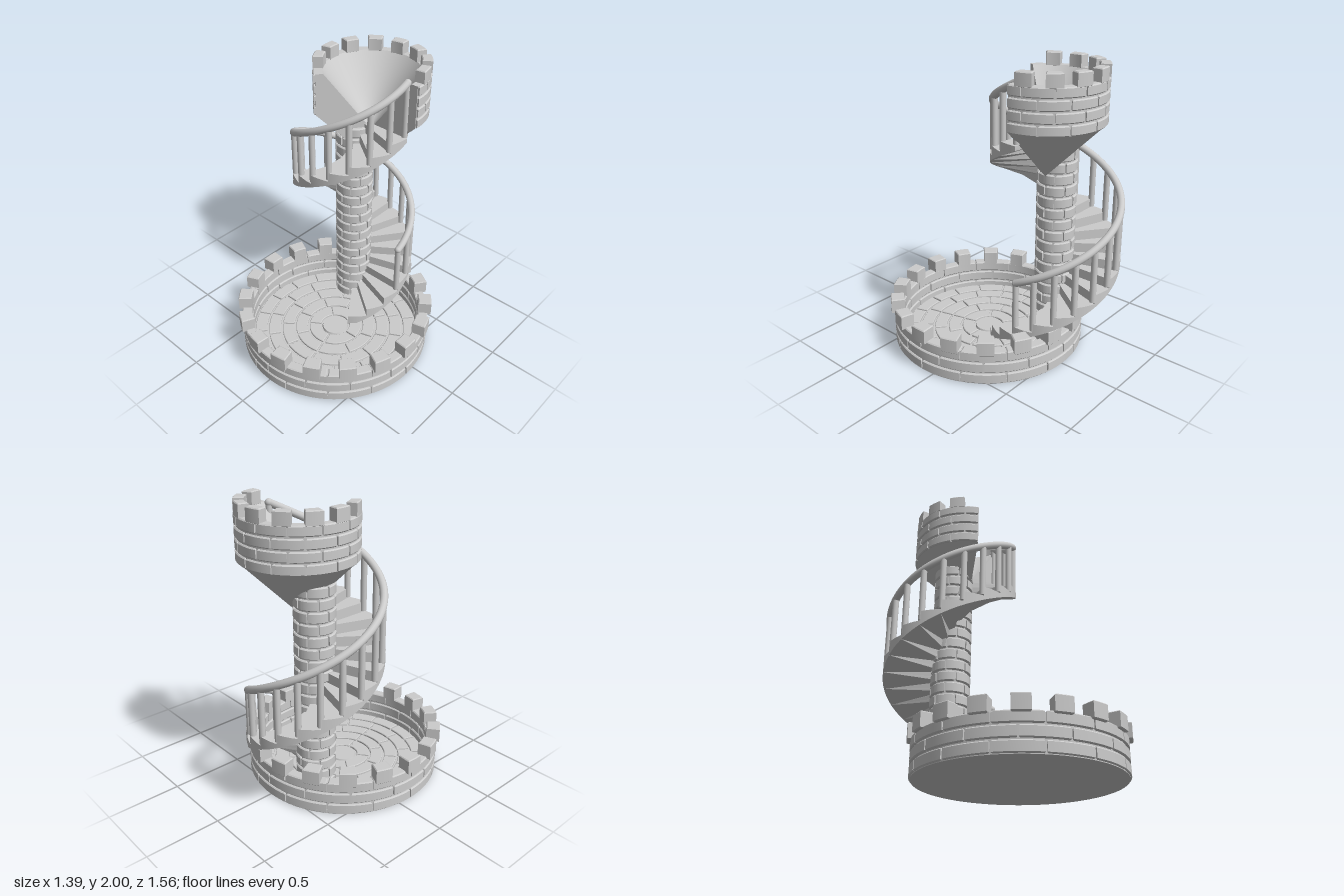
import * as THREE from 'three';
import { toCreasedNormals } from 'three/addons/utils/BufferGeometryUtils.js';

const TAU = Math.PI * 2, DEG = Math.PI / 180;
const mat = new THREE.MeshStandardMaterial({ color: 0xcccccc });
const thin = new THREE.MeshStandardMaterial({ color: 0xcccccc, side: THREE.DoubleSide });

function add(parent, name, geometry, material = mat) {
  const mesh = new THREE.Mesh(geometry, material);
  mesh.name = name;
  parent.add(mesh);
  return mesh;
}

function group(parent, name, x = 0, z = 0) {
  const g = new THREE.Group();
  g.name = name;
  g.position.set(x, 0, z);
  parent.add(g);
  return g;
}

// Ring segment between two radii and two angles (counter-clockwise from +x, seen from above)
function sector(r0, r1, a0, a1, y, h, bevel = 0) {
  const s = new THREE.Shape();
  s.absarc(0, 0, r1, a0, a1, false);
  s.absarc(0, 0, r0, a1, a0, true);
  const geo = new THREE.ExtrudeGeometry(s, {
    depth: h - 2 * bevel, curveSegments: Math.max(4, Math.ceil((a1 - a0) / 0.12)),
    bevelEnabled: bevel > 0, bevelSize: bevel, bevelThickness: bevel, bevelOffset: -bevel, bevelSegments: 1,
  });
  geo.rotateX(-Math.PI / 2);
  geo.translate(0, y + bevel, 0);
  return toCreasedNormals(geo, 0.5);
}

// Courses of bricks, every other one shifted by half a brick
function bricks(parent, r0, r1, y0, y1, rows, count, a0 = 0, a1 = TAU) {
  const pitch = (y1 - y0) / rows, step = (a1 - a0) / count, joint = 0.005 / r1;
  const closed = a1 - a0 > 6.28;
  for (let row = 0; row < rows; row++) {
    const odd = row % 2;
    for (let i = 0; i < count + (odd && !closed ? 1 : 0); i++) {
      let b0 = a0 + (i - odd * 0.5) * step, b1 = b0 + step;
      if (!closed) { b0 = Math.max(b0, a0); b1 = Math.min(b1, a1); }
      add(parent, 'brick', sector(r0, r1, b0 + joint, b1 - joint, y0 + row * pitch + 0.005, pitch - 0.01, 0.007));
    }
  }
}

function merlon(parent, r0, r1, angle, width, y, h) {
  add(parent, 'merlon', sector(r0, r1, angle - width / 2, angle + width / 2, y, h, 0.006));
}

function ringWall(r0, r1, y0, y1) {
  const pts = [[r0, y0], [r1, y0], [r1, y1], [r0, y1], [r0, y0]].map(p => new THREE.Vector2(...p));
  return toCreasedNormals(new THREE.LatheGeometry(pts, 72), 0.5);
}

function buildBase(model) {
  const base = group(model, 'base', 0, 0.09);
  const slab = add(base, 'floorSlab', new THREE.CylinderGeometry(0.66, 0.66, 0.03, 72));
  slab.position.y = 0.015;
  add(base, 'wallCore', ringWall(0.612, 0.657, 0.005, 0.232));
  bricks(base, 0.6, 0.67, 0, 0.245, 3, 14);
  for (let i = 0; i < 18; i++) merlon(base, 0.6, 0.693, i * 20 * DEG, 0.165, 0.225, 0.105);

  // Concentric paving
  const hub = add(base, 'centrePaver', new THREE.CylinderGeometry(0.09, 0.095, 0.015, 32));
  hub.position.y = 0.037;
  [5, 8, 11, 14, 18].forEach((count, ring) => {
    const r = 0.105 + ring * 0.1, step = TAU / count, gap = 0.007 / (r + 0.045);
    for (let i = 0; i < count; i++) {
      const a = (i + ring * 0.37) * step;
      add(base, 'paver', sector(r, r + 0.085, a + gap, a + step - gap, 0.025, 0.02, 0.004));
    }
  });
}

function buildColumn(model) {
  const column = group(model, 'column', -0.2, -0.335);
  const core = add(column, 'columnCore', new THREE.CylinderGeometry(0.118, 0.118, 1.49, 32));
  core.position.y = 0.765;
  bricks(column, 0.08, 0.132, 0.03, 1.52, 19, 6);
}

// Handrail height at an angle around the column; steps and balusters follow it
const RISE = 1.3 / TAU;
const railY = a => 0.62 + RISE * a;

class RailCurve extends THREE.Curve {
  getPoint(t, target = new THREE.Vector3()) {
    const a = t * TAU;
    return target.set(0.42 * Math.cos(a), railY(a), -0.42 * Math.sin(a));
  }
}

function buildStair(model) {
  const stair = group(model, 'stair', -0.2, -0.34);
  const step = 18 * DEG;

  // Treads are flat on top; their undersides are sheared into one continuous spiral
  for (let k = -3; k < 20; k++) {
    const a = k * step, top = railY(a) - 0.315;
    const geo = sector(0.03, 0.44, a, a + step, 0, 1);
    const p = geo.attributes.position;
    for (let i = 0; i < p.count; i++) {
      let da = Math.atan2(-p.getZ(i), p.getX(i)) - a;
      da -= TAU * Math.round(da / TAU);
      p.setY(i, p.getY(i) > 0.5 ? top : Math.max(0.03, railY(a + da) - 0.41));
    }
    geo.computeVertexNormals();
    add(stair, 'step', toCreasedNormals(geo, 0.5));
  }

  add(stair, 'handrail', new THREE.TubeGeometry(new RailCurve(), 120, 0.025, 12, false));
  for (let k = 0; k <= 20; k++) {
    const a = Math.min(k * step, TAU - 0.01);
    const post = add(stair, 'baluster', new THREE.CylinderGeometry(0.021, 0.021, 0.37, 12));
    post.position.set(0.42 * Math.cos(a), railY(a) - 0.185, -0.42 * Math.sin(a));
    if (k % 20 === 0) {
      const cap = add(stair, 'handrailEnd', new THREE.SphereGeometry(0.025, 14, 10));
      cap.position.set(0.42 * Math.cos(a), railY(a), -0.42 * Math.sin(a));
    }
  }
}

function buildTurret(model) {
  const turret = group(model, 'turret', -0.065, -0.34);
  const a0 = -1 * DEG, a1 = 235 * DEG;
  const profile = [[0, 1.27], [0.365, 1.635], [0.365, 1.92], [0.315, 1.92], [0, 1.5]].map(p => new THREE.Vector2(...p));

  // Funnel-shaped lookout, open where the stair arrives
  const bowl = new THREE.LatheGeometry(profile, 64, a0 + Math.PI / 2, a1 - a0);
  add(turret, 'bowl', toCreasedNormals(bowl, 0.5), thin);
  for (const a of [a0, a1]) {
    const face = add(turret, 'bowlEndFace', new THREE.ShapeGeometry(new THREE.Shape(profile)), thin);
    face.rotation.y = a;
  }
  bricks(turret, 0.315, 0.377, 1.63, 1.925, 4, 8, a0, a1);
  for (let i = 0; i < 8; i++) merlon(turret, 0.31, 0.377, (15 + 28 * i) * DEG, 0.28, 1.91, 0.09);
}

export function createModel() {
  const model = new THREE.Group();
  model.name = 'spiralStairTower';
  buildBase(model);
  buildColumn(model);
  buildStair(model);
  buildTurret(model);
  return model;
}
